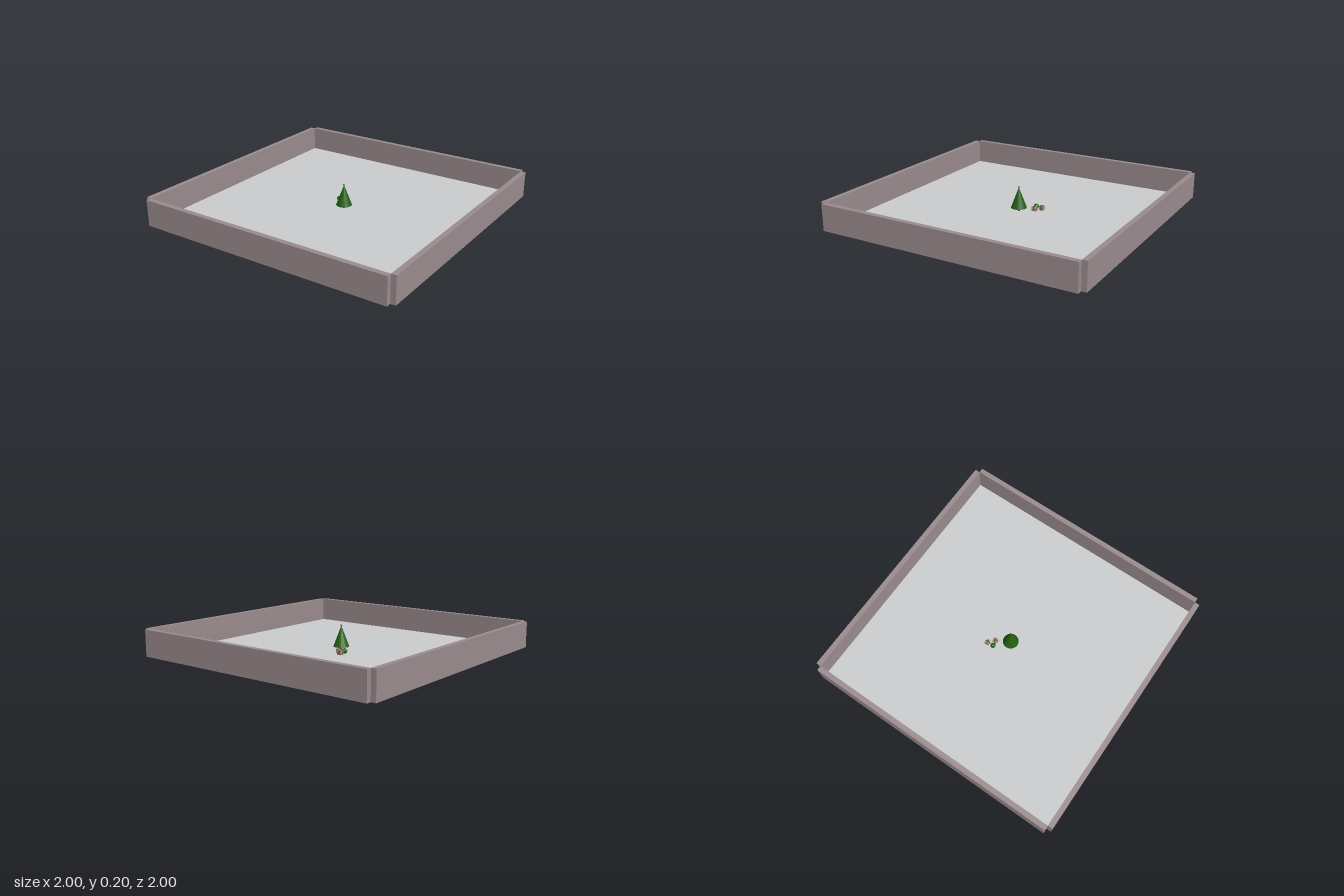
import * as THREE from 'three';

const mat = (name, color, flatShading = false) => {
  const m = new THREE.MeshStandardMaterial({ color });
  m.name = name;
  m.flatShading = flatShading;
  return m;
};

export function createModel() {
  const root = new THREE.Group();
  root.name = 'walledYard';
  const wallMat = mat('mauveWall', 0x998a8c);
  const floorMat = mat('paleGreyFloor', 0xc8cacb);
  const leafMat = mat('pineGreen', 0x226010, true);
  const barkMat = mat('brownBark', 0x5a3d24);
  const giftMat = mat('tanWrap', 0xa8977c);
  const ribbonMat = mat('darkRibbon', 0x3c3428);

  const add = (name, geometry, material, x, y, z, parent = root) => {
    const mesh = new THREE.Mesh(geometry, material);
    mesh.name = name;
    mesh.position.set(x, y, z);
    parent.add(mesh);
    return mesh;
  };

  // Floor and four walls with open notches at the corners
  const floorTop = 0.01, wallHeight = 0.195, wallThick = 0.037, span = 1.926;
  add('floor', new THREE.BoxGeometry(span, floorTop, span), floorMat, 0, floorTop / 2, 0);
  const offset = 1 - wallThick / 2;
  for (const s of [-1, 1]) {
    add(s > 0 ? 'frontWall' : 'backWall', new THREE.BoxGeometry(span, wallHeight, wallThick),
      wallMat, 0, wallHeight / 2, s * offset);
    add(s > 0 ? 'leftWall' : 'rightWall', new THREE.BoxGeometry(wallThick, wallHeight, span),
      wallMat, s * offset, wallHeight / 2, 0);
  }

  // Tree in the middle
  const tree = new THREE.Group();
  tree.name = 'tree';
  root.add(tree);
  add('trunk', new THREE.CylinderGeometry(0.008, 0.008, 0.04, 8), barkMat, 0, 0.02, 0, tree);
  add('foliage', new THREE.ConeGeometry(0.058, 0.155, 20), leafMat, 0, 0.1125, 0, tree);
  add('treeTip', new THREE.IcosahedronGeometry(0.007, 0), leafMat, 0, 0.191, 0, tree);

  // Wrapped gifts, each with crossed ribbons
  const size = 0.032;
  [[-0.1, -0.138], [-0.058, -0.098]].forEach(([x, z]) => {
    const gift = new THREE.Group();
    gift.name = 'gift';
    gift.position.set(x, floorTop + size / 2, z);
    root.add(gift);
    add('giftBox', new THREE.BoxGeometry(size, size, size), giftMat, 0, 0, 0, gift);
    const band = size + 0.001;
    add('ribbonAcross', new THREE.BoxGeometry(band, band, 0.005), ribbonMat, 0, 0, 0, gift);
    add('ribbonAlong', new THREE.BoxGeometry(0.005, band, band), ribbonMat, 0, 0, 0, gift);
  });

  // Small round gift beside the boxes
  add('greenBall', new THREE.IcosahedronGeometry(0.02, 1), leafMat, -0.1, floorTop + 0.019, -0.09);

  return root;
}
